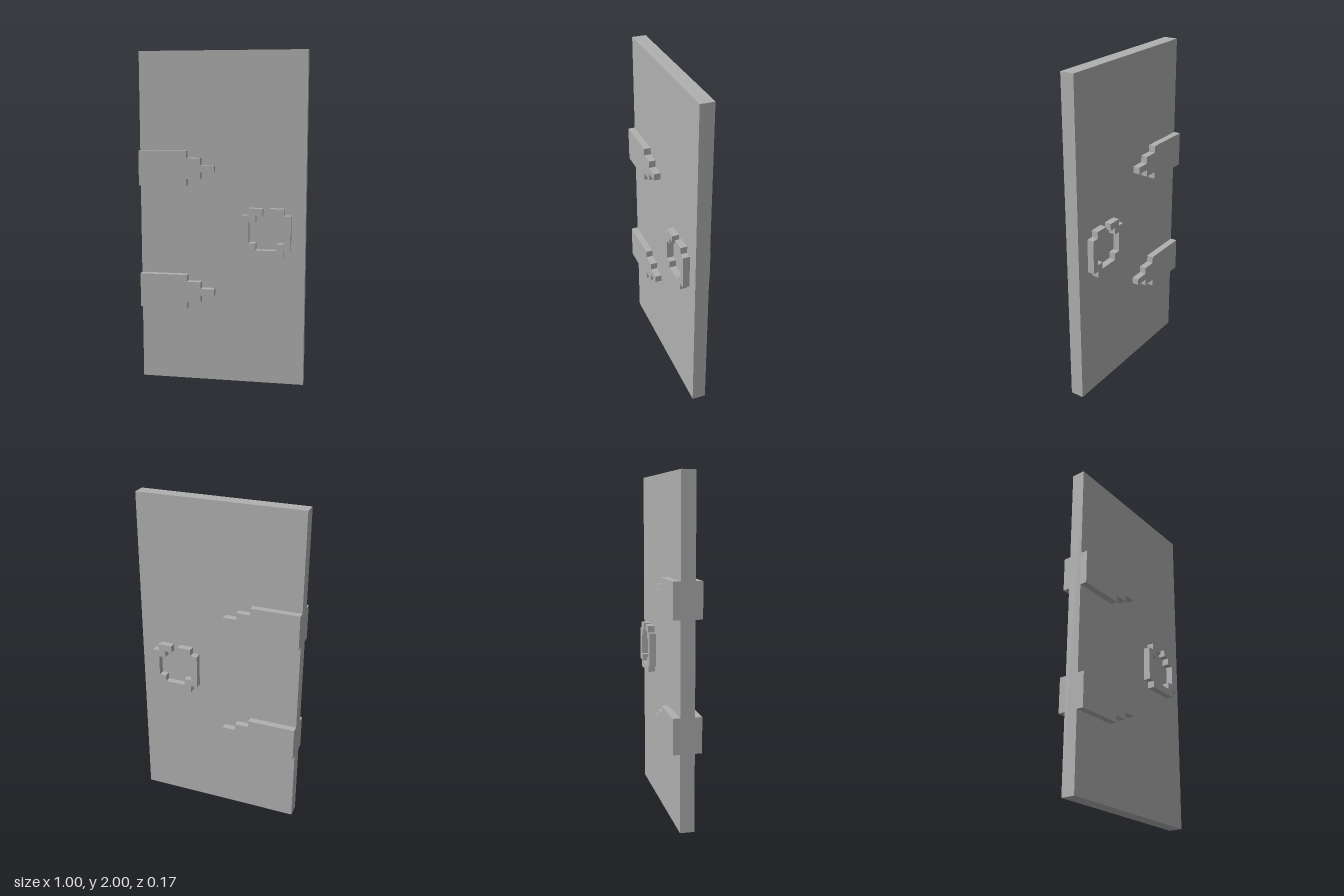
import * as THREE from 'three';

const U = 1 / 24; // one block of the pixel grid

// Outlines in grid blocks
const HINGE = [
  [-12, 0], [-5, 0], [-5, 1], [-3, 1], [-3, 2], [-1, 2],
  [-1, 3], [-3, 3], [-3, 4], [-5, 4], [-5, 5], [-12, 5],
];
const RING = [
  [6, 26], [4, 26], [4, 25], [3, 25], [3, 20], [4, 20], [4, 19],
  [9, 19], [9, 20], [10, 20], [10, 25], [9, 25], [9, 26], [7, 26],
  [7, 25], [8, 25], [8, 24], [9, 24], [9, 21], [8, 21], [8, 20],
  [5, 20], [5, 21], [4, 21], [4, 24], [5, 24], [5, 25], [6, 25],
];

export function createModel() {
  const model = new THREE.Group();
  model.name = 'door';
  const grey = new THREE.MeshStandardMaterial({ color: 0xb0b0b0 });
  grey.name = 'grey';

  // Raised plate, one block thick
  function plate(name, outline, y, z) {
    const shape = new THREE.Shape(outline.map(([px, py]) => new THREE.Vector2(px * U, py * U)));
    const geometry = new THREE.ExtrudeGeometry(shape, { depth: U, bevelEnabled: false });
    const mesh = new THREE.Mesh(geometry, grey);
    mesh.name = name;
    mesh.position.set(0, y * U, z * U);
    model.add(mesh);
  }

  // Door slab
  const slab = new THREE.Mesh(new THREE.BoxGeometry(24 * U, 48 * U, 2 * U), grey);
  slab.name = 'slab';
  slab.position.y = 24 * U;
  model.add(slab);

  // Hinges and ring handle on both faces
  for (const [side, z] of [['front', 1], ['back', -2]]) {
    plate(side + 'UpperHinge', HINGE, 29, z);
    plate(side + 'LowerHinge', HINGE, 11, z);
    plate(side + 'RingHandle', RING, 0, z);
  }
  return model;
}
